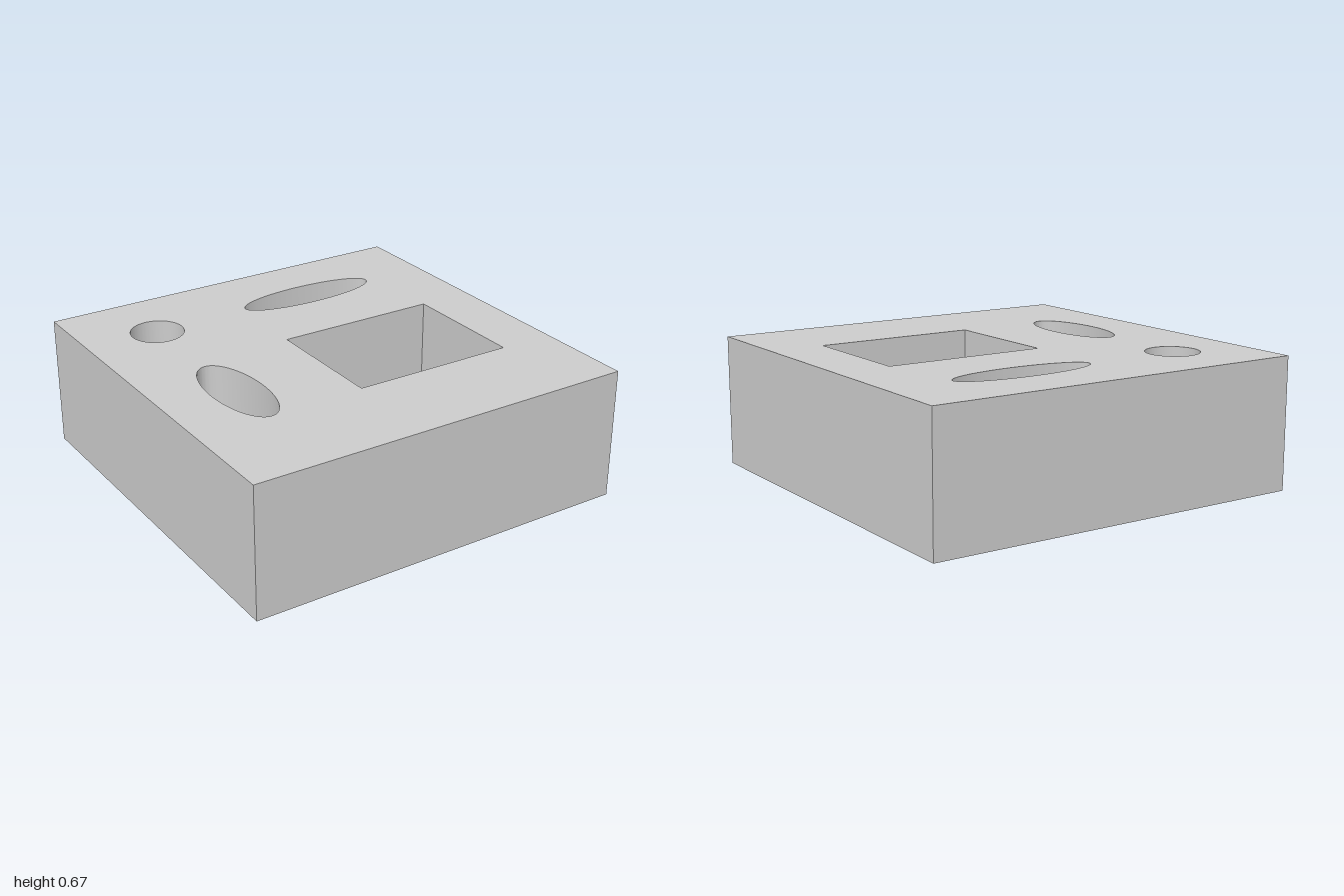
import * as THREE from 'three';
import { toCreasedNormals } from 'three/addons/utils/BufferGeometryUtils.js';

const HEIGHT = 0.67;

// Outline points are (x, -z), so that the extrusion can be laid flat.
function rectangle(Type, x0, x1, z0, z1) {
  return new Type([[x0, -z1], [x1, -z1], [x1, -z0], [x0, -z0]].map(([x, y]) => new THREE.Vector2(x, y)));
}

function ellipse(x, z, rx, rz) {
  return new THREE.Path().absellipse(x, -z, rx, rz, 0, Math.PI * 2, true);
}

export function createModel() {
  const group = new THREE.Group();
  group.name = 'perforatedBlock';

  // Square block with four through holes
  const outline = rectangle(THREE.Shape, -1, 1, -1, 1);
  outline.holes.push(
    ellipse(-0.615, -0.603, 0.135, 0.135), // round hole
    ellipse(0.279, -0.615, 0.375, 0.107), // wide oval hole
    ellipse(-0.615, 0.199, 0.129, 0.309), // deep oval hole
    rectangle(THREE.Path, -0.122, 0.717, -0.166, 0.492) // rectangular hole
  );

  const extruded = new THREE.ExtrudeGeometry(outline, { depth: HEIGHT, bevelEnabled: false, curveSegments: 64 });
  extruded.rotateX(-Math.PI / 2);

  const block = new THREE.Mesh(
    toCreasedNormals(extruded, Math.PI / 6),
    new THREE.MeshStandardMaterial({ color: 0xcccccc })
  );
  block.name = 'block';
  group.add(block);
  return group;
}
